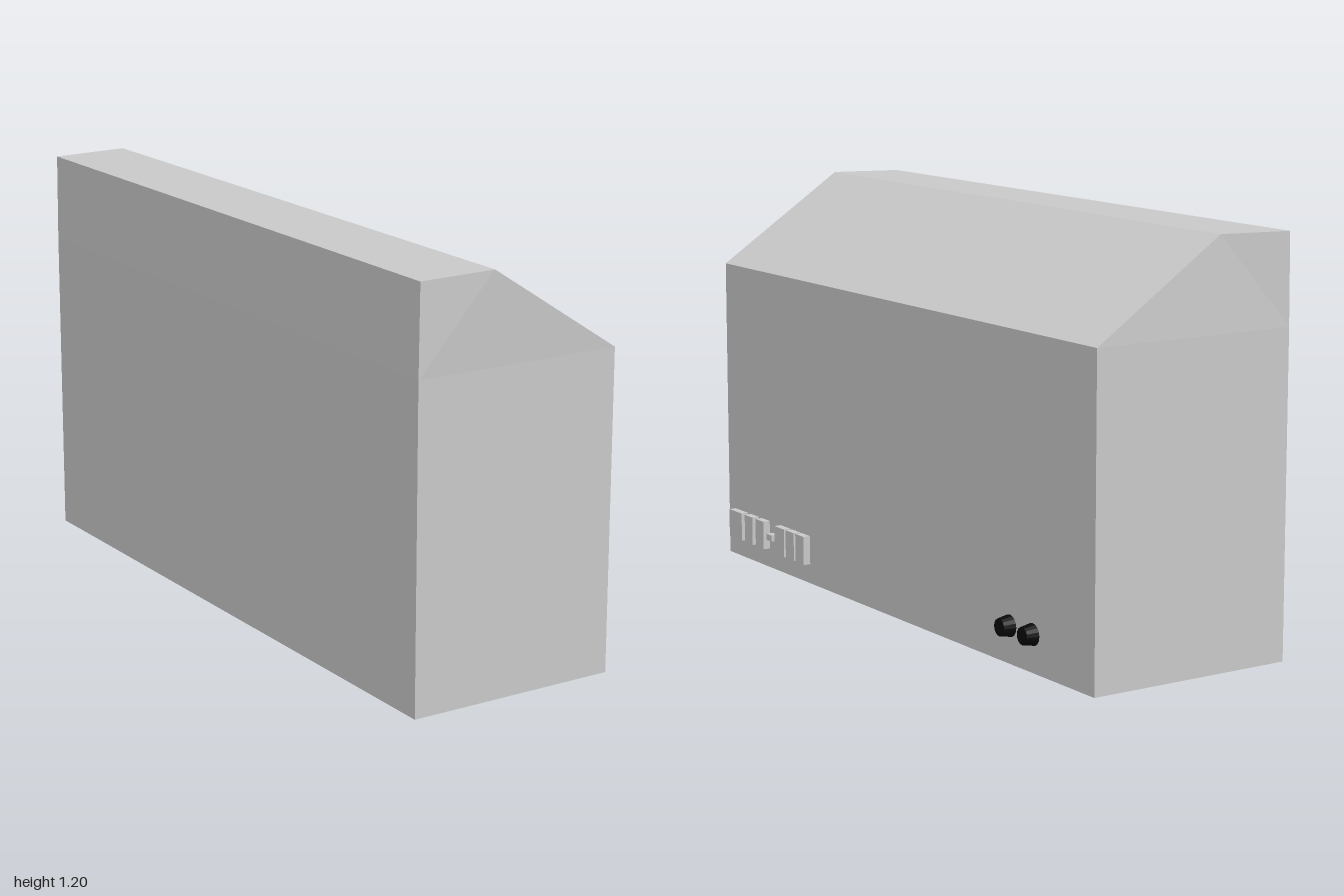
import * as THREE from 'three';

const grey = new THREE.MeshStandardMaterial({ color: 0xcccccc, flatShading: true, side: THREE.DoubleSide });
const black = new THREE.MeshStandardMaterial({ color: 0x0a0a0a, flatShading: true });

// Cabinet: six-point profile with slightly bowed ends.
// Each point is x, y, front z, back z, counter-clockwise from the front.
function cabinetGeometry() {
  const profile = [
    [-0.338, 0, 0.99, -1],
    [0.3, 0, 0.99, -1],
    [0.3, 0.93, 0.99, -1],
    [-0.108, 1.195, 1, -0.988],
    [-0.334, 1.19, 0.99, -1],
    [-0.337, 0.93, 0.99, -1],
  ];
  const n = profile.length;
  const positions = [];
  const front = (i) => [profile[i][0], profile[i][1], profile[i][2]];
  const back = (i) => [profile[i][0], profile[i][1], profile[i][3]];
  const tri = (a, b, c) => positions.push(...a, ...b, ...c);

  // Long faces between the two ends
  for (let i = 0; i < n; i++) {
    const j = (i + 1) % n;
    tri(front(i), back(i), back(j));
    tri(front(i), back(j), front(j));
  }
  // End faces: rectangular lower part and gabled upper part
  for (const [a, b, c] of [[0, 1, 2], [0, 2, 5], [5, 2, 3], [5, 3, 4]]) {
    tri(front(a), front(b), front(c));
    tri(back(c), back(b), back(a));
  }
  const geometry = new THREE.BufferGeometry();
  geometry.setAttribute('position', new THREE.Float32BufferAttribute(positions, 3));
  geometry.computeVertexNormals();
  return geometry;
}

export function createModel() {
  const model = new THREE.Group();
  model.name = 'cabinet';
  const add = (name, geometry, material, x, y, z) => {
    const mesh = new THREE.Mesh(geometry, material);
    mesh.name = name;
    mesh.position.set(x, y, z);
    model.add(mesh);
    return mesh;
  };

  add('cabinetBody', cabinetGeometry(), grey, 0, 0, 0);

  // Tapered control knobs on the side panel
  const knob = new THREE.CylinderGeometry(0.025, 0.032, 0.037, 16).rotateZ(-Math.PI / 2);
  for (const z of [-0.605, -0.715]) add('controlKnob', knob, black, 0.3165, 0.108, z);

  // Row of plain raised trim blocks, given as start and end along z
  const blocks = [[0.48, 0.53], [0.54, 0.59], [0.6, 0.66], [0.68, 0.71], [0.73, 0.78], [0.8, 0.85], [0.87, 0.95]];
  for (const [start, end] of blocks) {
    const height = end - start < 0.04 ? 0.02 : 0.088;
    add('trimBlock', new THREE.BoxGeometry(0.024, height, end - start), grey, 0.311, 0.104, (start + end) / 2);
  }
  return model;
}
